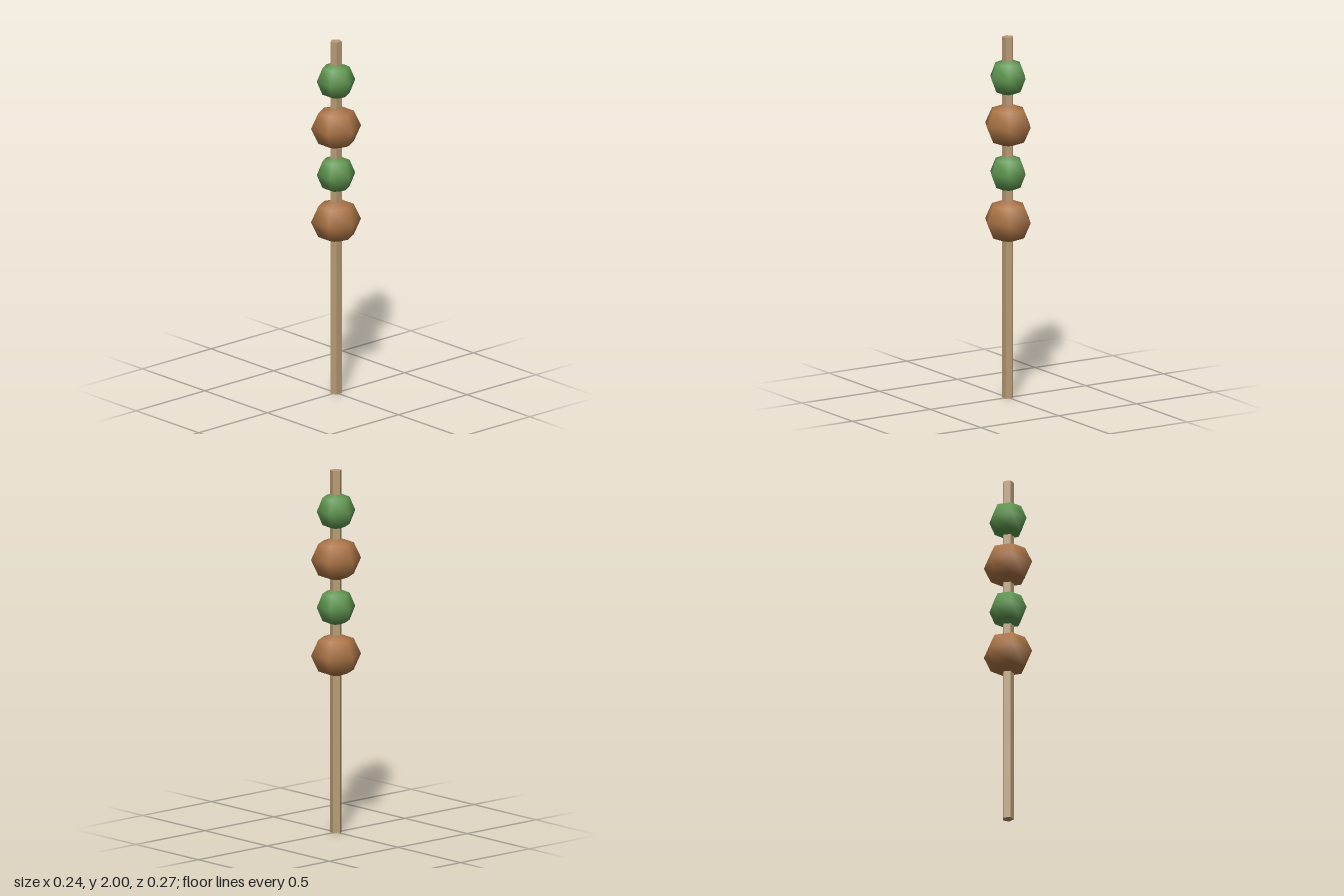
import * as THREE from 'three';

export function createModel() {
  const model = new THREE.Group();
  const material = (color, flatShading = false) =>
    new THREE.MeshStandardMaterial({ color, flatShading });
  const wood = material(0xb89c76, true);
  const green = material(0x5f9650);
  const brown = material(0xab7446);

  // five-sided skewer, one corner pointing back
  const stick = new THREE.Mesh(new THREE.CylinderGeometry(0.032, 0.032, 2, 5), wood);
  stick.name = 'stick';
  stick.rotation.y = Math.PI;
  stick.position.y = 1;
  model.add(stick);

  // six-sided low-poly balls with corners pointing front and back
  const ball = new THREE.SphereGeometry(1, 6, 4).rotateY(Math.PI / 2);
  const addBall = (name, mat, y, rx, ry, rz) => {
    const mesh = new THREE.Mesh(ball, mat);
    mesh.name = name;
    mesh.scale.set(rx, ry, rz);
    mesh.position.y = y;
    model.add(mesh);
  };
  for (const y of [0.98, 1.51]) addBall('brownPiece', brown, y, 0.14, 0.123, 0.134);
  for (const y of [1.245, 1.775]) addBall('greenPiece', green, y, 0.106, 0.106, 0.106);

  return model;
}
